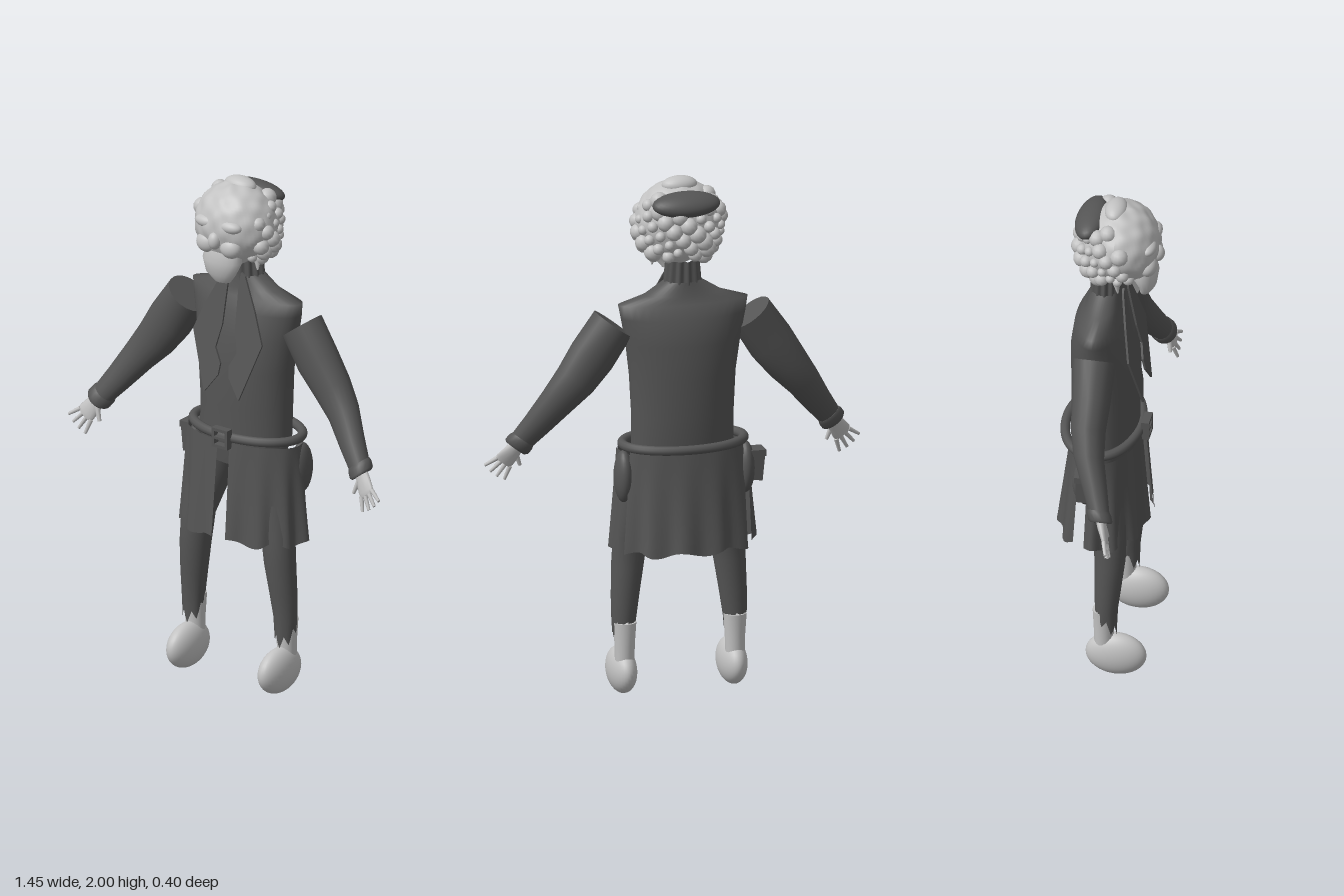
import * as THREE from 'three';
import { mergeGeometries } from 'three/addons/utils/BufferGeometryUtils.js';

const V = (x, y, z) => new THREE.Vector3(x, y, z);

// Indexed grid surface from fn(i, j); columns may wrap around
function surface(rows, cols, wrap, fn) {
  const pos = [], idx = [];
  for (let i = 0; i < rows; i++) for (let j = 0; j < cols; j++) pos.push(...fn(i, j).toArray());
  for (let i = 0; i < rows - 1; i++) for (let j = 0; j < (wrap ? cols : cols - 1); j++) {
    const k = (j + 1) % cols, a = i * cols + j, b = i * cols + k, c = a + cols, d = b + cols;
    idx.push(a, b, d, a, d, c);
  }
  const g = new THREE.BufferGeometry();
  g.setAttribute('position', new THREE.Float32BufferAttribute(pos, 3));
  g.setIndex(idx);
  g.computeVertexNormals();
  return g;
}

// Loft through elliptical rings {c, u, v}, where u x v follows the path
function loft(rings, n = 28, warp = null, caps = false) {
  const at = (i, j) => {
    const r = rings[i], t = j / n * Math.PI * 2;
    const p = r.c.clone().addScaledVector(r.u, Math.cos(t)).addScaledVector(r.v, Math.sin(t));
    return warp ? warp(p, i, t) : p;
  };
  const parts = [surface(rings.length, n, true, at)];
  if (caps) {
    const last = rings.length - 1;
    parts.push(surface(2, n, true, (i, j) => i ? at(0, j) : rings[0].c));
    parts.push(surface(2, n, true, (i, j) => i ? rings[last].c : at(last, j)));
  }
  return mergeGeometries(parts);
}

// Horizontal ring for upward or downward lofts
const ring = (x, y, z, rx, rz, up = true) => ({ c: V(x, y, z), u: V(rx, 0, 0), v: V(0, 0, up ? -rz : rz) });

function flipped(g) {
  const f = g.clone();
  if (!f.index) f.setIndex([...Array(f.attributes.position.count).keys()]);
  const a = f.index.array;
  for (let i = 0; i < a.length; i += 3) [a[i], a[i + 1]] = [a[i + 1], a[i]];
  return f;
}

function mirrored(g) {
  const f = flipped(g);
  for (const name of ['position', 'normal']) {
    const a = f.attributes[name];
    for (let i = 0; i < a.count; i++) a.setX(i, -a.getX(i));
  }
  return f;
}

const ball = (x, y, z, rx, ry = rx, rz = rx, n = 14) =>
  new THREE.SphereGeometry(1, n * 2, n).scale(rx, ry, rz).translate(x, y, z);

// Tapered rod between two points
function rod(a, b, ra, rb, n = 8) {
  const d = b.clone().sub(a), g = new THREE.CylinderGeometry(rb, ra, d.length(), n);
  g.applyQuaternion(new THREE.Quaternion().setFromUnitVectors(V(0, 1, 0), d.normalize()));
  const m = a.clone().add(b).multiplyScalar(0.5);
  return g.translate(m.x, m.y, m.z);
}

export function createModel() {
  const model = new THREE.Group();
  const dark = new THREE.MeshStandardMaterial({ name: 'dark cloth', color: 0x555555 });
  const light = new THREE.MeshStandardMaterial({ name: 'pale grey', color: 0xc2c2c2 });
  const add = (name, g, mat) => {
    const m = new THREE.Mesh(g, mat);
    m.name = name;
    model.add(m);
  };
  const pair = (name, g, mat) => {
    add(name + 'Left', g, mat);
    add(name + 'Right', mirrored(g), mat);
  };

  // Coat body: [y, half width, front z, back z]
  const body = [[0.96, 0.195, 0.1, -0.14], [1.1, 0.195, 0.1, -0.15], [1.25, 0.203, 0.105, -0.15],
    [1.38, 0.22, 0.09, -0.15], [1.48, 0.24, 0.07, -0.135], [1.53, 0.25, 0.045, -0.105], [1.56, 0.15, 0.035, -0.09],
    [1.61, 0.068, 0.03, -0.08]];
  add('coatBody', loft(body.map(([y, w, f, b]) => ring(0, y, (f + b) / 2, w, (f - b) / 2)), 36), dark);

  // Pleated neck
  add('neck', loft([ring(0, 1.5, -0.025, 0.075, 0.055), ring(0, 1.6, -0.025, 0.068, 0.053), ring(0, 1.69, -0.025, 0.06, 0.052)],
    72, (p, i, t) => { const s = 1 + 0.09 * Math.sin(t * 12); p.x *= s; p.z = -0.025 + (p.z + 0.025) * s; return p; }), dark);

  // Lapels: flat plates leaning away from the neck
  const lapel = new THREE.Shape([[0.025, 1.59], [0.03, 1.63], [0.05, 1.62], [0.11, 1.5], [0.16, 1.38], [0.08, 1.155],
    [0.025, 1.23], [0.02, 1.275], [0.05, 1.33], [0.03, 1.42]].map(([x, y]) => new THREE.Vector2(x, y)));
  const lapelGeo = new THREE.ExtrudeGeometry(lapel, { depth: 0.008, bevelEnabled: false });
  const lp = lapelGeo.attributes.position;
  for (let i = 0; i < lp.count; i++) lp.setZ(i, lp.getZ(i) + 0.045 + (1.62 - lp.getY(i)) * 0.175);
  lapelGeo.computeVertexNormals();
  pair('lapel', lapelGeo, dark);

  // Sleeves with flat shoulder ends: [x, y, z, half width, half depth]
  const sleeve = [[0.265, 1.455, -0.015, 0.085, 0.08], [0.345, 1.335, -0.01, 0.09, 0.072], [0.41, 1.245, -0.01, 0.08, 0.066],
    [0.475, 1.165, 0.005, 0.066, 0.058], [0.54, 1.075, 0.04, 0.054, 0.048], [0.605, 0.99, 0.073, 0.043, 0.038]];
  const dir = V(0.6, -0.8, 0);
  const tilt = (x, y, z, w, d, ux = 0.8, uy = 0.6) => ({ c: V(x, y, z), u: V(ux * w, uy * w, 0), v: V(0, 0, d) });
  pair('sleeve', loft(sleeve.map(s => tilt(...s)), 20, null, true), dark);
  const cuff = [[0.59, 1.01, 0.064, 0.046, 0.041], [0.597, 1.0, 0.068, 0.051, 0.046], [0.611, 0.981, 0.076, 0.051, 0.046],
    [0.616, 0.974, 0.079, 0.043, 0.04]];
  pair('cuff', loft(cuff.map(s => tilt(...s)), 20, null, true), dark);

  // Hands
  const palm = loft([tilt(0.605, 0.99, 0.075, 0.026, 0.02), tilt(0.628, 0.955, 0.087, 0.034, 0.017),
    tilt(0.65, 0.925, 0.1, 0.038, 0.013), tilt(0.658, 0.912, 0.103, 0.034, 0.01)], 14, null, true);
  const fingers = [];
  for (let k = 0; k < 4; k++) {
    const o = (k - 1.5) / 1.5, base = V(0.654 + 0.024 * o, 0.916 + 0.018 * o, 0.102);
    const tip = base.clone().addScaledVector(dir, 0.06 - 0.008 * o * o).add(V(0.014 * o, 0.012 * o, 0.015));
    fingers.push(rod(base, tip, 0.009, 0.006));
  }
  fingers.push(rod(V(0.612, 0.957, 0.09), V(0.592, 0.9, 0.1), 0.011, 0.007));
  pair('hand', mergeGeometries([palm, ...fingers].map(g => { g.deleteAttribute('uv'); return g; })), light);

  // Belt and buckle frame
  const beltPath = new THREE.CatmullRomCurve3(Array.from({ length: 24 }, (_, i) => {
    const a = i / 24 * Math.PI * 2;
    return V(0.232 * Math.sin(a), 0.988, -0.032 + 0.14 * Math.cos(a));
  }), true);
  add('belt', new THREE.TubeGeometry(beltPath, 72, 0.018, 10, true), dark);
  const bar = (w, h, x, y) => new THREE.BoxGeometry(w, h, 0.03).translate(x, y, 0.13);
  add('buckle', mergeGeometries([bar(0.074, 0.012, 0, 1.02), bar(0.074, 0.012, 0, 0.956),
    bar(0.012, 0.076, -0.031, 0.988), bar(0.012, 0.076, 0.031, 0.988), bar(0.05, 0.01, 0, 0.988)]), dark);

  // Coat tails: flared, rippled strips of an ellipse around the hips
  const tail = (a0, a1, inset = 0) => surface(9, 33, false, (i, j) => {
    const f = 1 - i / 8, a = a0 + (a1 - a0) * j / 32;
    const r = 1 - inset + 0.045 * f * Math.sin(a * 13);
    return V((0.25 + 0.025 * f) * r * Math.sin(a), 0.585 + 0.385 * (1 - f) + 0.01 * f * Math.sin(a * 9),
      -0.015 - 0.01 * f + (0.135 + 0.035 * f) * r * Math.cos(a));
  });
  pair('frontTail', mergeGeometries([tail(0.11, 1.78), flipped(tail(0.11, 1.78, 0.02))].map((g, i) => {
    if (i) g.computeVertexNormals();
    return g;
  })), dark);
  add('backTail', tail(2.08, Math.PI * 2 - 2.08), dark);

  // Side pockets and a small belt pouch
  pair('pocket', ball(0.235, 0.87, -0.05, 0.035, 0.1, 0.055), dark);
  const pouch = new THREE.BoxGeometry(0.05, 0.11, 0.06).rotateZ(0.1).translate(-0.275, 0.875, -0.05);
  const flap = new THREE.BoxGeometry(0.065, 0.025, 0.07).translate(-0.275, 0.925, -0.05);
  add('beltPouch', mergeGeometries([pouch, flap]), dark);

  // Hips and trouser legs with ragged hems that hang lower in front
  add('hips', loft([ring(0, 0.86, 0, 0.17, 0.07), ring(0, 0.92, -0.01, 0.19, 0.09), ring(0, 1, -0.02, 0.19, 0.11)], 28, null, true), dark);
  const leg = [[0.12, 0.95, -0.01, 0.1, 0.09], [0.14, 0.82, 0, 0.095, 0.085], [0.185, 0.62, 0.028, 0.066, 0.062],
    [0.197, 0.5, 0.03, 0.061, 0.058], [0.208, 0.38, 0.024, 0.053, 0.05], [0.214, 0.29, 0.02, 0.046, 0.043],
    [0.215, 0.24, 0.018, 0.041, 0.041]];
  pair('trouserLeg', loft(leg.map(r => ring(...r, false)), 28, (p, i, t) => {
    if (i === 6) p.y += -0.045 * Math.sin(t) + 0.022 * Math.sin(t * 7);
    return p;
  }), dark);
  pair('sock', loft([ring(0.213, 0.1, 0.01, 0.036, 0.036), ring(0.213, 0.2, 0.01, 0.038, 0.038), ring(0.213, 0.285, 0.01, 0.044, 0.042)],
    20, null, true), light);
  pair('foot', ball(0.213, 0.088, 0.056, 0.053, 0.088, 0.115, 18), light);

  // Head: lumpy egg narrowing towards the chin
  const head = new THREE.SphereGeometry(1, 64, 48), hp = head.attributes.position;
  for (let i = 0; i < hp.count; i++) {
    const x = hp.getX(i), y = hp.getY(i), z = hp.getZ(i);
    const s = 1 + 0.03 * Math.sin(11 * Math.abs(x) + 2) * Math.sin(10 * y + 1) * Math.sin(9 * z + 2);
    hp.setXYZ(i, 0.165 * x * s * (y < 0 ? 1 - 0.4 * y * y : 1), 1.82 + 0.16 * y * s, 0.035 + 0.145 * z * s);
  }
  head.computeVertexNormals();
  add('head', head, light);
  add('topTuft', ball(0, 1.965, 0.015, 0.068, 0.034, 0.042), light);
  add('nose', ball(0, 1.79, 0.172, 0.026, 0.034, 0.026), light);
  pair('cheek', ball(0.055, 1.765, 0.145, 0.045, 0.04, 0.035), light);
  pair('brow', ball(0.055, 1.85, 0.148, 0.05, 0.025, 0.03), light);
  add('beard', loft([ring(0, 1.615, 0.125, 0.035, 0.02), ring(0, 1.65, 0.135, 0.065, 0.032), ring(0, 1.7, 0.125, 0.085, 0.05),
    ring(0, 1.74, 0.12, 0.075, 0.045)], 20, null, true), light);
  pair('sideLock', rod(V(0.09, 1.72, 0.03), V(0.1, 1.655, 0.04), 0.022, 0.003), light);

  // Curls scattered over the sides and back
  const curls = [];
  for (let i = 0; i < 90; i++) {
    const y = 0.82 - 1.6 * i / 89, r = Math.sqrt(1 - y * y), a = i * 2.39996;
    const x = r * Math.cos(a), z = r * Math.sin(a);
    if (z > 0.45 || (y > 0.45 && z > -0.1)) continue;
    curls.push(ball(0.158 * x, 1.815 + 0.145 * y, 0.02 + 0.14 * z, 0.026 + 0.009 * Math.sin(i * 5.3), undefined, undefined, 7));
  }
  add('curls', mergeGeometries(curls), light);

  // Flat cap on the back of the head
  add('cap', ball(0, 0, 0, 0.13, 0.042, 0.062, 18).rotateX(-0.35).translate(0, 1.915, -0.078), dark);
  return model;
}
